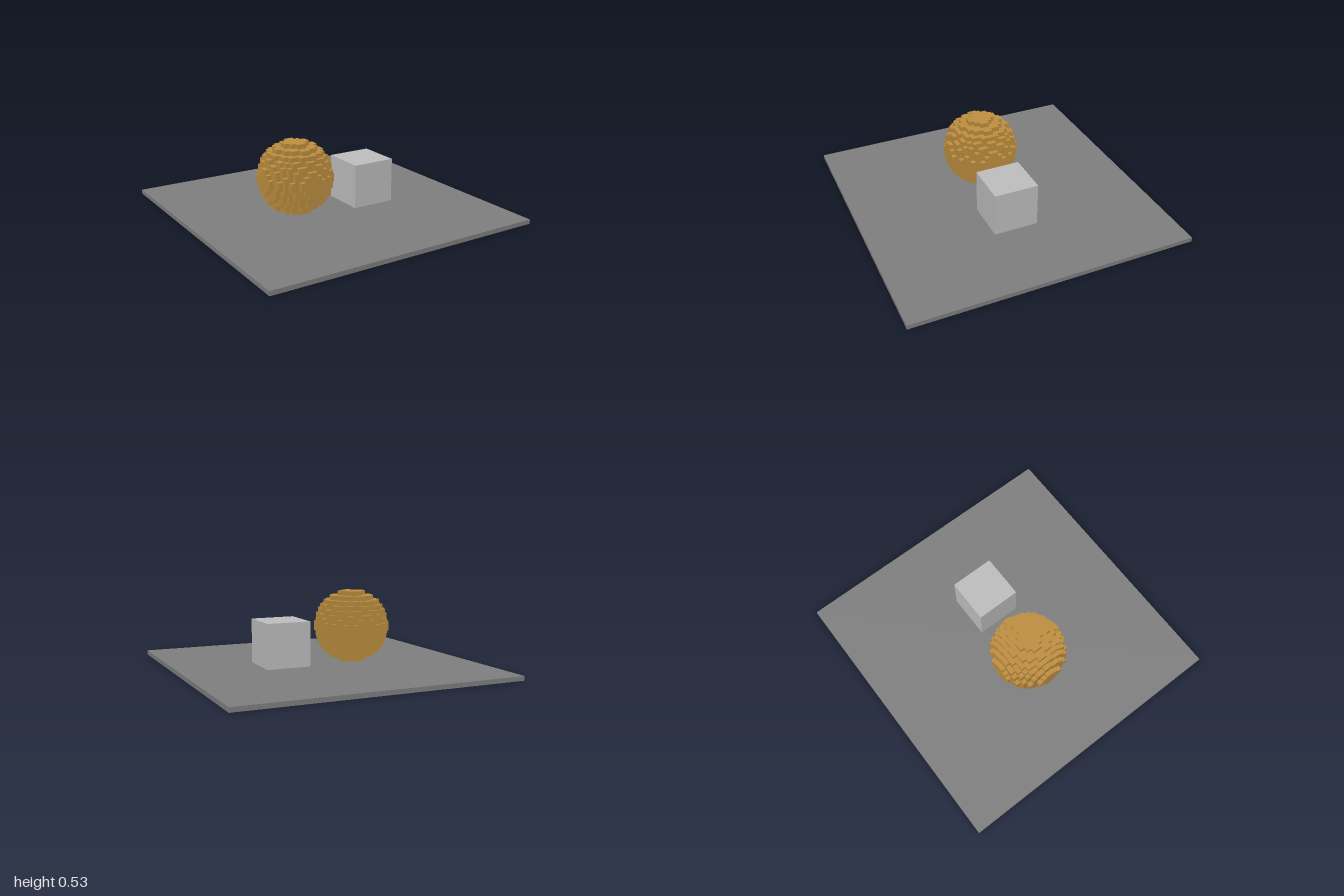
import * as THREE from 'three';
import { mergeGeometries } from 'three/addons/utils/BufferGeometryUtils.js';

const V = 1 / 32; // edge of one voxel
const R = 8;      // ball radius in voxels

const ochre = new THREE.MeshStandardMaterial({ name: 'ochre', color: 0xc09040 });
const lightGrey = new THREE.MeshStandardMaterial({ name: 'lightGrey', color: 0xc0c0c0 });
const midGrey = new THREE.MeshStandardMaterial({ name: 'midGrey', color: 0x808080 });

// Box spanning two corners given in voxels
function voxelBox(name, material, min, max) {
  const size = max.map((m, i) => (m - min[i]) * V);
  const mesh = new THREE.Mesh(new THREE.BoxGeometry(...size), material);
  mesh.position.set(...max.map((m, i) => ((m + min[i]) / 2) * V));
  mesh.name = name;
  return mesh;
}

// Outer skin of a sphere made of unit voxels
function voxelSphereGeometry() {
  const inside = (p) => p.lengthSq() <= R * R;
  const front = new THREE.Vector3(0, 0, 1);
  const sides = [[1, 0, 0], [-1, 0, 0], [0, 1, 0], [0, -1, 0], [0, 0, 1], [0, 0, -1]].map((d) => {
    const dir = new THREE.Vector3(...d);
    const face = new THREE.PlaneGeometry(V, V);
    face.applyQuaternion(new THREE.Quaternion().setFromUnitVectors(front, dir));
    face.translate(dir.x * V / 2, dir.y * V / 2, dir.z * V / 2);
    return { dir, face };
  });
  const faces = [];
  for (let x = 0.5 - R; x < R; x++)
    for (let y = 0.5 - R; y < R; y++)
      for (let z = 0.5 - R; z < R; z++) {
        const p = new THREE.Vector3(x, y, z);
        if (!inside(p)) continue;
        // Keep only the faces with no neighbouring voxel
        for (const { dir, face } of sides)
          if (!inside(p.clone().add(dir))) faces.push(face.clone().translate(x * V, y * V, z * V));
      }
  return mergeGeometries(faces);
}

export function createModel() {
  const model = new THREE.Group();
  model.name = 'voxelScene';

  // Flat ground slab, one voxel thick
  model.add(voxelBox('groundSlab', midGrey, [-32, 0, -32], [32, 1, 32]));

  // Plain cube resting on the slab
  model.add(voxelBox('cube', lightGrey, [4, 1, -4], [14, 11, 6]));

  // Stepped ball resting on the slab
  const ball = new THREE.Mesh(voxelSphereGeometry(), ochre);
  ball.name = 'voxelBall';
  ball.position.set(-R * V, (1 + R) * V, 0);
  model.add(ball);

  return model;
}
